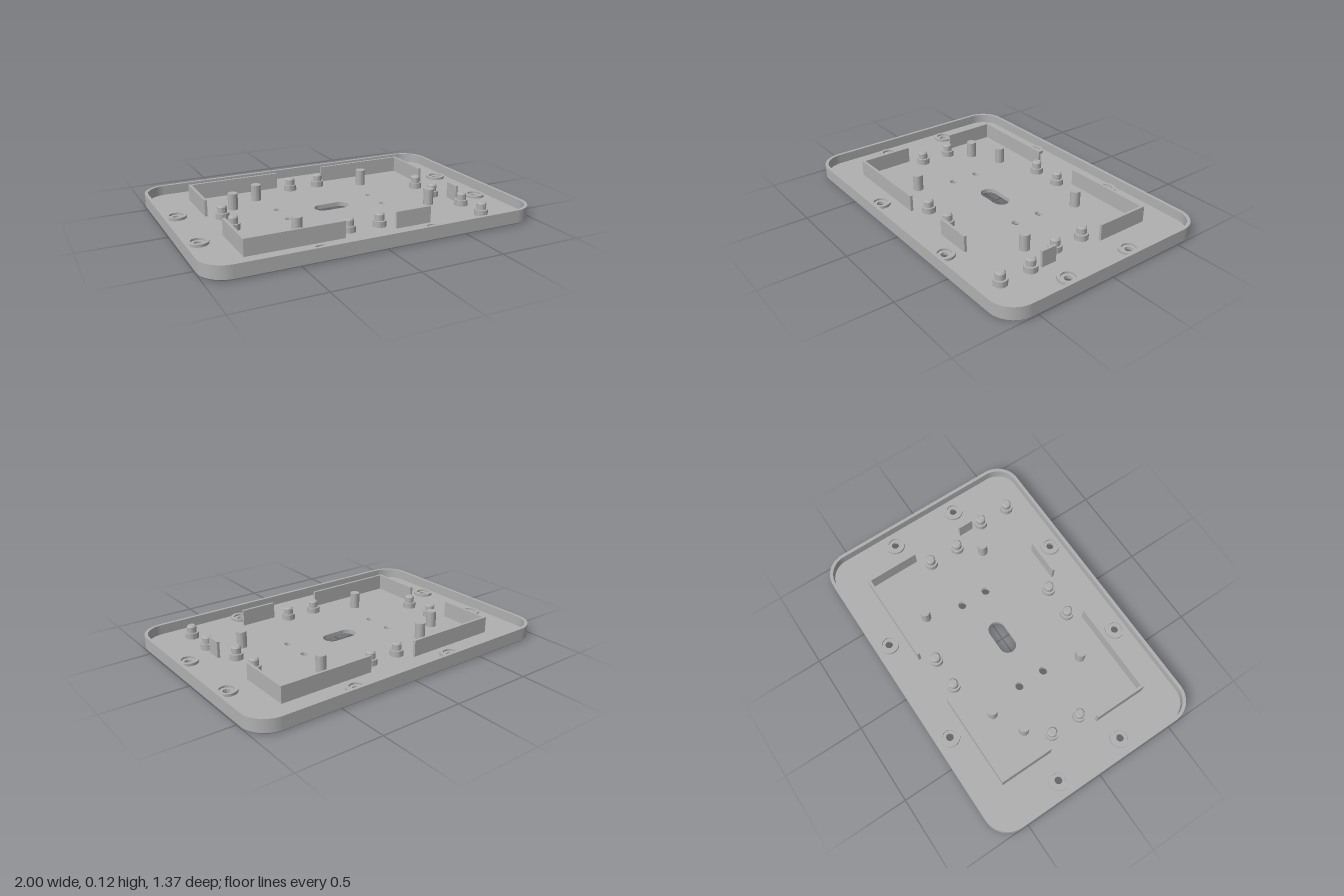
import * as THREE from 'three';
import { toCreasedNormals } from 'three/addons/utils/BufferGeometryUtils.js';

const W = 1, D = 0.687, R = 0.15, H = 0.085, FLOOR = 0.026, RIB_TOP = 0.125, RIB = 0.016;

// Rounded rectangle outline, inset from the outer edge
function outline(inset, Type) {
  const x = W - inset, y = D - inset, r = R - inset, s = new Type();
  s.absarc(x - r, y - r, r, 0, Math.PI / 2);
  s.absarc(-x + r, y - r, r, Math.PI / 2, Math.PI);
  s.absarc(-x + r, -y + r, r, Math.PI, Math.PI * 1.5);
  s.absarc(x - r, -y + r, r, Math.PI * 1.5, Math.PI * 2);
  s.closePath();
  return s;
}

const circle = (x, y, r) => new THREE.Path().absarc(x, y, r, 0, Math.PI * 2, true);

// Extrude upwards from y = 0
function slab(shape, depth, steps = 1) {
  return new THREE.ExtrudeGeometry(shape, { depth, steps, bevelEnabled: false, curveSegments: 20 })
    .rotateX(-Math.PI / 2);
}

export function createModel() {
  const model = new THREE.Group();
  const grey = new THREE.MeshStandardMaterial({ color: 0xb0b0b0 });
  grey.name = 'grey plastic';

  const add = (name, geometry, x = 0, y = 0, z = 0) => {
    const mesh = new THREE.Mesh(geometry, grey);
    mesh.name = name;
    mesh.position.set(x, y, z);
    model.add(mesh);
  };
  const lathe = (points, segments = 32) => toCreasedNormals(
    new THREE.LatheGeometry(points.map(([r, y]) => new THREE.Vector2(r, y)), segments), 0.5);

  const screws = [], vents = [];
  for (const sx of [-1, 1]) for (const sz of [-1, 1]) {
    screws.push([sx * 0.342, sz * 0.597], [sx * 0.896, sz * 0.219]);
    vents.push([sx * 0.313, sz * 0.086]);
  }

  // Floor with a cable slot and screw holes, chamfered along the lower outer edge
  const base = outline(0, THREE.Shape);
  for (const [x, z] of screws) base.holes.push(circle(x, z, 0.03));
  for (const [x, z] of vents) base.holes.push(circle(x, z, 0.026));
  const slot = new THREE.Path();
  slot.absarc(0.058, 0, 0.052, Math.PI / 2, -Math.PI / 2, true);
  slot.absarc(-0.058, 0, 0.052, -Math.PI / 2, -Math.PI * 1.5, true);
  slot.closePath();
  base.holes.push(slot);
  const floor = slab(base, FLOOR, 3);
  const p = floor.attributes.position;
  for (let i = 0; i < p.count; i++) {
    const x = p.getX(i), z = p.getZ(i);
    if (p.getY(i) < 0.001 && (Math.abs(x) > 0.94 || Math.abs(z) > 0.635)) {
      p.setX(i, x * (1 - 0.008 / W));
      p.setZ(i, z * (1 - 0.008 / D));
    }
  }
  add('floor', toCreasedNormals(floor, 0.5));

  // Rim wall around the floor
  const rim = outline(0, THREE.Shape);
  rim.holes.push(outline(0.02, THREE.Path));
  add('rim', toCreasedNormals(slab(rim, H - FLOOR), 0.5), 0, FLOOR, 0);

  // Screw bosses: raised ring, recessed seat and a hole widening below
  const boss = lathe([[0.03, 0], [0.06, FLOOR], [0.06, 0.042], [0.041, 0.042],
    [0.041, 0.03], [0.022, 0.03], [0.022, 0.012], [0.03, 0]].slice(1));
  for (const [x, z] of screws) add('screwBoss', boss, x, 0, z);

  // Tapered liners of the four small holes
  const liner = lathe([[0.026, FLOOR], [0.021, 0.016], [0.021, 0], [0.026, 0]]);
  for (const [x, z] of vents) add('smallHole', liner, x, 0, z);

  // Stepped standoffs with chamfered pins
  const standoff = lathe([[0.04, FLOOR - 0.002], [0.04, 0.062], [0.028, 0.062],
    [0.028, 0.097], [0.021, 0.105], [0, 0.105]]);
  const standoffs = [[0.722, 0.32], [0.722, 0.517]];
  for (const sx of [-1, 1]) for (const sz of [-1, 1]) {
    standoffs.push([sx * 0.097, sz * 0.412], [sx * 0.657, sz * 0.097]);
  }
  for (const [x, z] of standoffs) add('standoff', standoff, x, 0, z);

  // Plain support posts
  const post = lathe([[0.03, FLOOR - 0.002], [0.03, RIB_TOP], [0, RIB_TOP]]);
  for (const [x, z] of [[-0.367, -0.316], [0.367, -0.316], [-0.55, -0.22], [-0.367, 0.316], [0.55, 0.22]]) {
    add('post', post, x, 0, z);
  }

  // Upright ribs, each given as x0, x1, z0, z1
  const X = 0.741, Z = 0.497;
  const ribs = [
    [-X, -0.16, -Z, -Z + RIB], [-X, -X + RIB, -Z + RIB, -0.163],
    [0.16, X, -Z, -Z + RIB], [X - RIB, X, -Z + RIB, -0.163],
    [-X, -0.16, Z - RIB, Z], [-X, -X + RIB, 0.163, Z - RIB],
    [0.16, 0.383, Z - RIB, Z], [X - RIB, X, 0.163, 0.258],
  ];
  const y0 = FLOOR - 0.002;
  for (const [x0, x1, z0, z1] of ribs) {
    add('rib', new THREE.BoxGeometry(x1 - x0, RIB_TOP - y0, z1 - z0),
      (x0 + x1) / 2, (RIB_TOP + y0) / 2, (z0 + z1) / 2);
  }
  return model;
}
